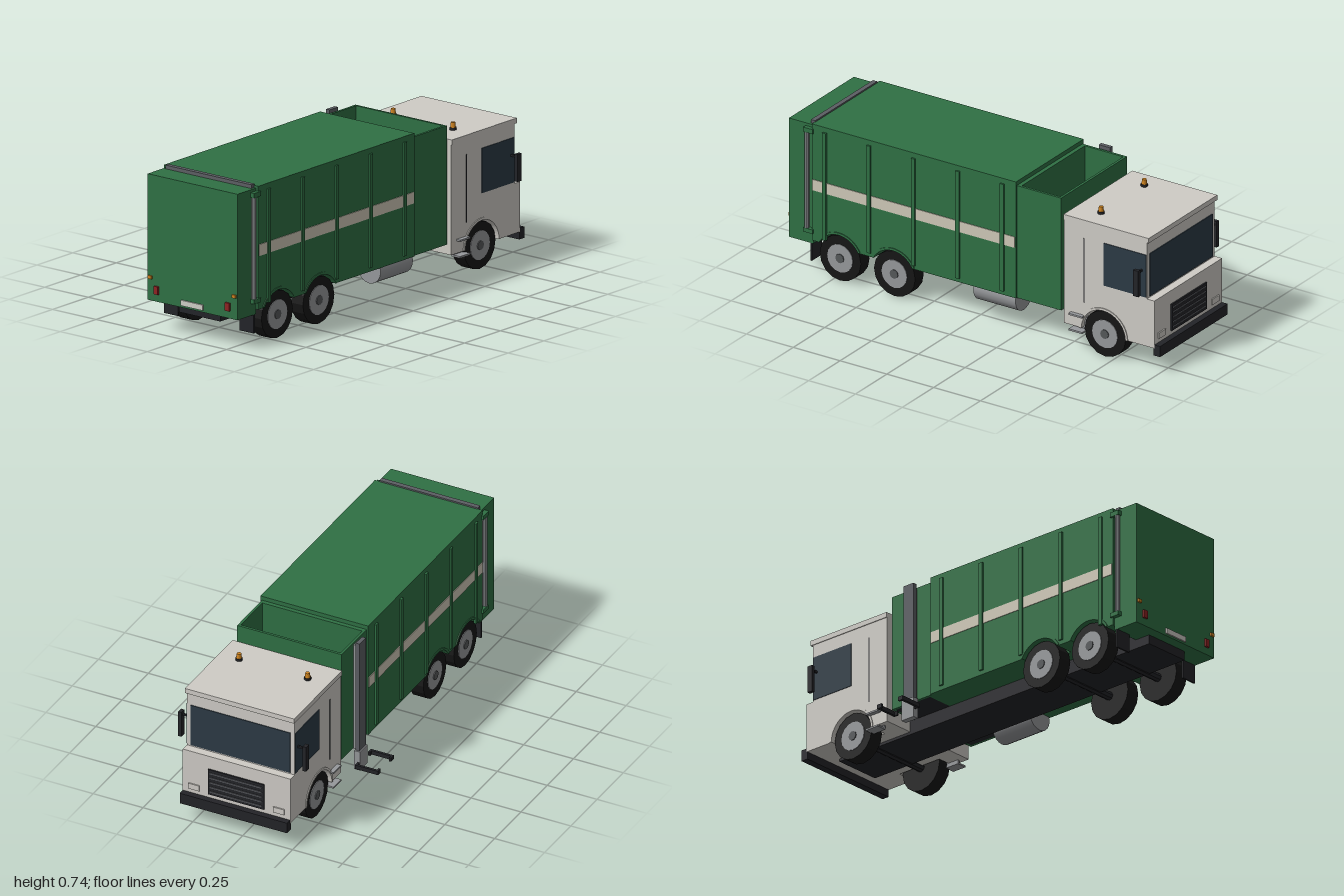
import * as THREE from 'three';

const mat = (color, extra = {}) => new THREE.MeshStandardMaterial({ color, flatShading: true, ...extra });
const green = mat(0x2f7044), white = mat(0xcfccc6), cream = mat(0xcfc9b8), black = mat(0x232428);
const tyreMat = mat(0x161616), glass = mat(0x2c3a45), grey = mat(0x96989b), steel = mat(0x5c5e63);
const red = mat(0x8e2222), amber = mat(0xcf8420), hubMat = mat(0x55585a);

const WHEEL_R = 0.11, ARCH_R = 0.118, REAR = [0.425, 0.715], FRONT = [-0.7];

export function createModel() {
  const root = new THREE.Group();
  // the truck is symmetric about its own centre; the lift arm on one side shifts it
  const truck = new THREE.Group();
  truck.name = 'truck';
  truck.position.x = 0.0465;
  root.add(truck);

  const add = (name, geo, m, parent = truck) => {
    const mesh = new THREE.Mesh(geo, m);
    mesh.name = name;
    parent.add(mesh);
    return mesh;
  };
  // box given by its extents
  const box = (name, m, x0, x1, y0, y1, z0, z1, parent) => {
    const b = add(name, new THREE.BoxGeometry(x1 - x0, y1 - y0, z1 - z0), m, parent);
    b.position.set((x0 + x1) / 2, (y0 + y1) / 2, (z0 + z1) / 2);
    return b;
  };
  const pair = (name, m, x0, x1, ...r) => {
    box(name, m, x0, x1, ...r);
    box(name, m, -x1, -x0, ...r);
  };
  // side profile (z, y) extruded across x
  const slab = (name, m, shape, x0, x1) => {
    const g = new THREE.ExtrudeGeometry(shape, { depth: x1 - x0, bevelEnabled: false, curveSegments: 14 });
    g.rotateY(-Math.PI / 2).translate(x1, 0, 0);
    return add(name, g, m);
  };
  // profile whose flat bottom runs from z0 to z1, with wheel arches cut out
  const profile = (z0, z1, bottom, upper, arches) => {
    const s = new THREE.Shape().moveTo(z0, bottom);
    const a = Math.asin((bottom - WHEEL_R) / ARCH_R);
    for (const z of arches) {
      s.lineTo(z - ARCH_R * Math.cos(a), bottom);
      s.absarc(z, WHEEL_R, ARCH_R, Math.PI - a, a, true);
    }
    s.lineTo(z1, bottom);
    upper.forEach(([z, y]) => s.lineTo(z, y));
    return s;
  };
  const archLips = (zs, bottom, m, x) => {
    const a = Math.asin((bottom - WHEEL_R) / ARCH_R);
    for (const z of zs) {
      const s = new THREE.Shape();
      s.absarc(z, WHEEL_R, ARCH_R + 0.011, a, Math.PI - a, false);
      s.absarc(z, WHEEL_R, ARCH_R, Math.PI - a, a, true);
      slab('archLip', m, s, x - 0.01, x + 0.004);
      slab('archLip', m, s, -x - 0.004, -x + 0.01);
    }
  };
  // arched outer sides around a narrower plain core
  const hull = (name, m, hw, z0, z1, bottom, upper, arches) => {
    slab(name + 'Core', m, profile(z0, z1, bottom, upper, []), -0.18, 0.18);
    const s = profile(z0, z1, bottom, upper, arches);
    slab(name + 'Side', m, s, 0.18, hw);
    slab(name + 'Side', m, s, -hw, -0.18);
    archLips(arches, bottom, m, hw);
  };

  // chassis
  box('chassis', black, -0.118, 0.118, 0.1, 0.166, -0.91, 0.94);

  // refuse body
  hull('body', green, 0.27, -0.23, 0.86, 0.165, [[0.86, 0.735], [-0.23, 0.735]], REAR);
  for (let i = 0; i < 5; i++) {
    const z = 0.79 - i * 0.2375;
    pair('rib', green, 0.265, 0.279, 0.185, 0.71, z - 0.01, z + 0.01);
  }
  pair('stripe', cream, 0.265, 0.273, 0.412, 0.465, -0.225, 0.855);

  // open hopper
  pair('hopperSide', green, 0.25, 0.262, 0.165, 0.715, -0.467, -0.23);
  box('hopperFront', green, -0.262, 0.262, 0.165, 0.715, -0.467, -0.455);
  box('hopperRearRim', green, -0.25, 0.25, 0.165, 0.715, -0.25, -0.23);
  box('hopperFloor', black, -0.25, 0.25, 0.165, 0.3, -0.455, -0.25);
  box('packerBlade', grey, -0.25, 0.25, 0.3, 0.5, -0.27, -0.25);

  // tailgate with hinge and rams
  box('tailgate', green, -0.258, 0.258, 0.143, 0.725, 0.86, 0.99);
  box('hingeBar', steel, -0.247, 0.247, 0.722, 0.742, 0.857, 0.88);
  for (const s of [-1, 1]) {
    const ram = add('tailgateRam', new THREE.CylinderGeometry(0.011, 0.011, 0.475, 10), grey);
    ram.position.set(s * 0.268, 0.455, 0.887);
    pair('ramBracket', green, 0.25, 0.279, 0.69, 0.712, 0.85, 0.9);
    pair('ramBracket', green, 0.25, 0.279, 0.2, 0.22, 0.85, 0.9);
  }
  pair('tailLight', red, 0.192, 0.217, 0.178, 0.215, 0.985, 1);
  pair('markerLight', amber, 0.231, 0.251, 0.243, 0.258, 0.985, 0.998);
  box('numberPlate', white, -0.064, 0.064, 0.153, 0.178, 0.985, 0.997);
  pair('mudFlap', black, 0.177, 0.257, 0.056, 0.165, 0.868, 0.876);

  // cab
  hull('cab', white, 0.27, -0.97, -0.487, 0.113,
    [[-0.487, 0.64], [-0.93, 0.64], [-0.93, 0.345], [-0.97, 0.345]], FRONT);
  box('cabRoof', white, -0.274, 0.274, 0.622, 0.646, -0.942, -0.487);
  box('windscreen', glass, -0.25, 0.25, 0.352, 0.56, -0.934, -0.92);
  pair('sideWindow', glass, 0.26, 0.273, 0.352, 0.56, -0.928, -0.7);
  pair('doorSeam', black, 0.262, 0.2715, 0.24, 0.555, -0.597, -0.592);
  pair('step', grey, 0.24, 0.291, 0.17, 0.178, -0.598, -0.525);
  pair('step', grey, 0.24, 0.291, 0.094, 0.102, -0.598, -0.525);
  pair('stepHanger', grey, 0.24, 0.25, 0.094, 0.178, -0.598, -0.525);
  box('bumper', black, -0.269, 0.269, 0.078, 0.13, -1, -0.965);
  box('grille', black, -0.14, 0.14, 0.15, 0.28, -0.977, -0.965);
  for (let i = 0; i < 5; i++) {
    const y = 0.167 + i * 0.024;
    box('grilleSlat', steel, -0.13, 0.13, y - 0.003, y + 0.003, -0.981, -0.97);
  }
  pair('headlight', white, 0.185, 0.24, 0.15, 0.178, -0.976, -0.965);
  pair('mirror', black, 0.304, 0.321, 0.37, 0.497, -0.918, -0.89);
  pair('mirrorArm', black, 0.26, 0.31, 0.477, 0.486, -0.909, -0.9);
  for (const x of [-0.172, 0.172]) {
    add('beaconBase', new THREE.CylinderGeometry(0.016, 0.016, 0.012, 12), black).position.set(x, 0.651, -0.62);
    add('beacon', new THREE.CylinderGeometry(0.01, 0.013, 0.024, 12), amber).position.set(x, 0.668, -0.62);
  }

  // wheels
  const drum = (name, r, w, x, z, m, n = 16) => {
    const g = new THREE.CylinderGeometry(r, r, w, n).rotateZ(Math.PI / 2);
    add(name, g, m).position.set(x, WHEEL_R, z);
  };
  for (const z of [...FRONT, ...REAR]) {
    drum('axle', 0.02, 0.4, 0, z, black, 8);
    for (const s of [-1, 1]) {
      drum('tyre', WHEEL_R, 0.068, s * 0.225, z, tyreMat);
      drum('rim', 0.068, 0.068, s * 0.228, z, grey);
      drum('hub', 0.022, 0.068, s * 0.232, z, hubMat, 10);
    }
  }

  // side tank
  const tank = add('tank', new THREE.CylinderGeometry(0.066, 0.066, 0.225, 20).rotateX(Math.PI / 2),
    mat(0x96989b, { flatShading: false }));
  tank.position.set(0.2, 0.146, -0.113);

  // side loading arm
  const lift = new THREE.Group();
  lift.name = 'liftArm';
  root.add(lift);
  box('mast', steel, -0.252, -0.232, 0.09, 0.724, -0.365, -0.305, lift);
  box('mastRail', grey, -0.235, -0.212, 0.16, 0.705, -0.355, -0.315, lift);
  box('carriage', grey, -0.257, -0.228, 0.067, 0.163, -0.372, -0.3, lift);
  for (const s of [-1, 1]) {
    const z = -0.34 + s * 0.07, inner = z - s * 0.014;
    const span = (w) => [Math.min(z, inner) - w, Math.max(z, inner) + w];
    box('gripperFinger', black, -0.37, -0.257, 0.1, 0.12, z - 0.006, z + 0.006, lift);
    box('gripperTip', black, -0.37, -0.36, 0.1, 0.12, ...span(0.006), lift);
    box('gripperPivot', black, -0.265, -0.255, 0.1, 0.12, ...span(0.006), lift);
  }
  return root;
}
